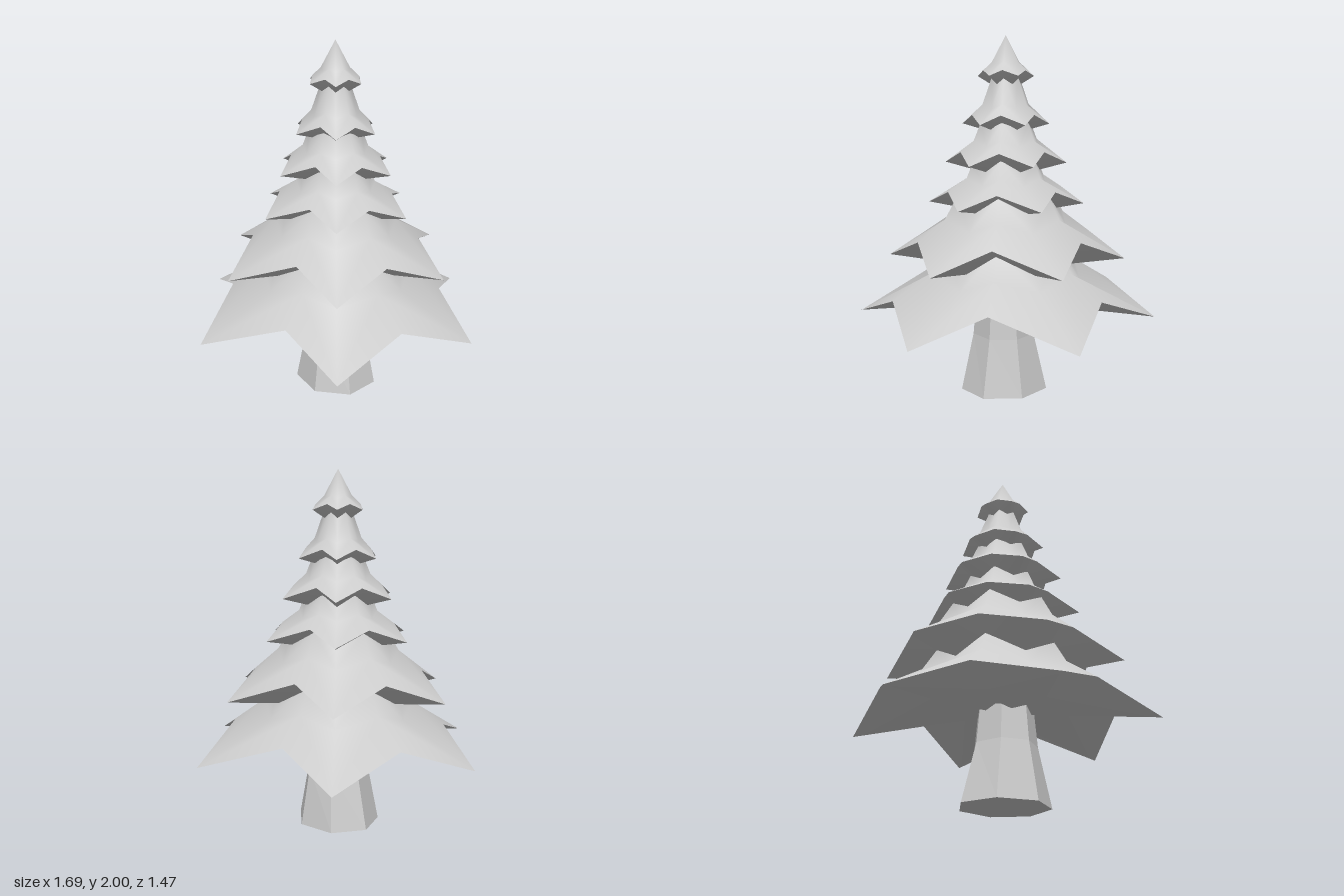
import * as THREE from 'three';
import { mergeVertices } from 'three/addons/utils/BufferGeometryUtils.js';

const SIDES = 12; // six branch tips alternating with six notches

// One entry per tier: [radius, height] of the branch tips on three rings,
// lift of the notches above the tips, height of the underside's centre, and
// rim notch radius as a share of the tip radius [sides, front and back].
const TIERS = [
  { rings: [[0.847, 0.432], [0.42, 0.645], [0.33, 0.80]], lift: 0.147, under: 0.505, notch: [0.71, 0.795] },
  { rings: [[0.67, 0.768], [0.34, 0.95], [0.27, 1.08]], lift: 0.122, under: 0.685, notch: [0.705, 0.785] },
  { rings: [[0.437, 1.078], [0.22, 1.19], [0.18, 1.29]], lift: 0.077, under: 1.0, notch: [0.72, 0.795] },
  { rings: [[0.34, 1.305], [0.18, 1.40], [0.14, 1.50]], lift: 0.065, under: 1.215, notch: [0.72, 0.80] },
  { rings: [[0.242, 1.52], [0.13, 1.605], [0.075, 1.76]], lift: 0.05, under: 1.45, notch: [0.75, 0.84] },
  { rings: [[0.156, 1.78], [0.077, 1.843], [0, 2]], lift: 0.03, under: 1.685, notch: [0.80, 0.87] },
];

// Notch shape above the rim, where the star rounds off into the neck
const UPPER_NOTCH = [1.0, 1.08];
const LIFT = [1, 0.45, 0.45];
const SIDE_SKEW = 0.065; // side notches lean towards the front and back

function ringPoints(tier, k) {
  const [radius, height] = tier.rings[k];
  const shares = k === 0 ? tier.notch : UPPER_NOTCH;
  const points = [];
  for (let i = 0; i < SIDES; i++) {
    let a = (i / SIDES) * Math.PI * 2;
    let share = 1;
    let y = height;
    if (i % 2) {
      share = shares[i % 6 === 3 ? 1 : 0];
      if (radius > 0) y += tier.lift * LIFT[k];
      if (i % 6 !== 3) a += SIDE_SKEW * Math.sign(Math.sin(2 * a));
    }
    points.push([Math.cos(a) * radius * share, y, Math.sin(a) * radius * share]);
  }
  return points;
}

// Merging joins the points that meet at the apex, so it shades smoothly
function buildGeometry(points, index) {
  const geometry = new THREE.BufferGeometry();
  geometry.setAttribute('position', new THREE.Float32BufferAttribute(points.flat(), 3));
  geometry.setIndex(index);
  const merged = mergeVertices(geometry);
  merged.computeVertexNormals();
  return merged;
}

// Smooth upper skin, lofted through the star rings
function foliageGeometry(tier) {
  const points = tier.rings.flatMap((_, k) => ringPoints(tier, k));
  const index = [];
  for (let k = 0; k < tier.rings.length - 1; k++) {
    for (let i = 0; i < SIDES; i++) {
      const a = k * SIDES + i;
      const b = k * SIDES + ((i + 1) % SIDES);
      const c = a + SIDES;
      const d = b + SIDES;
      // Mirror the diagonals so each branch folds evenly
      if (i % 2) index.push(a, c, b, b, c, d);
      else index.push(a, c, d, a, d, b);
    }
  }
  return buildGeometry(points, index);
}

// Fan closing the star from below
function undersideGeometry(tier) {
  const points = [...ringPoints(tier, 0), [0, tier.under, 0]];
  const index = [];
  for (let i = 0; i < SIDES; i++) index.push(SIDES, i, (i + 1) % SIDES);
  return buildGeometry(points, index);
}

// Seven-sided trunk, flared at the foot, a little deeper than wide there
function trunkGeometry() {
  const profile = [[0, 0], [0.232, 0], [0.176, 0.325], [0.156, 0.54]]
    .map(([r, y]) => new THREE.Vector2(r, y));
  const geometry = new THREE.LatheGeometry(profile, 7, Math.PI / 2);
  const position = geometry.attributes.position;
  for (let i = 0; i < position.count; i++) {
    const z = position.getZ(i);
    position.setZ(i, position.getY(i) === 0 ? z * 1.09 + 0.008 : z + 0.014);
  }
  return geometry;
}

export function createModel() {
  const tree = new THREE.Group();
  tree.name = 'tree';
  const smooth = new THREE.MeshStandardMaterial({ color: 0xcccccc });
  const flat = new THREE.MeshStandardMaterial({ color: 0xcccccc, flatShading: true });

  const add = (parent, name, geometry, material) => {
    const mesh = new THREE.Mesh(geometry, material);
    mesh.name = name;
    parent.add(mesh);
  };

  add(tree, 'trunk', trunkGeometry(), flat);

  // Stacked star-shaped tiers of branches
  TIERS.forEach((tier, n) => {
    const group = new THREE.Group();
    group.name = `branchTier${n + 1}`;
    add(group, 'foliage', foliageGeometry(tier), smooth);
    add(group, 'underside', undersideGeometry(tier), smooth);
    tree.add(group);
  });

  return tree;
}
